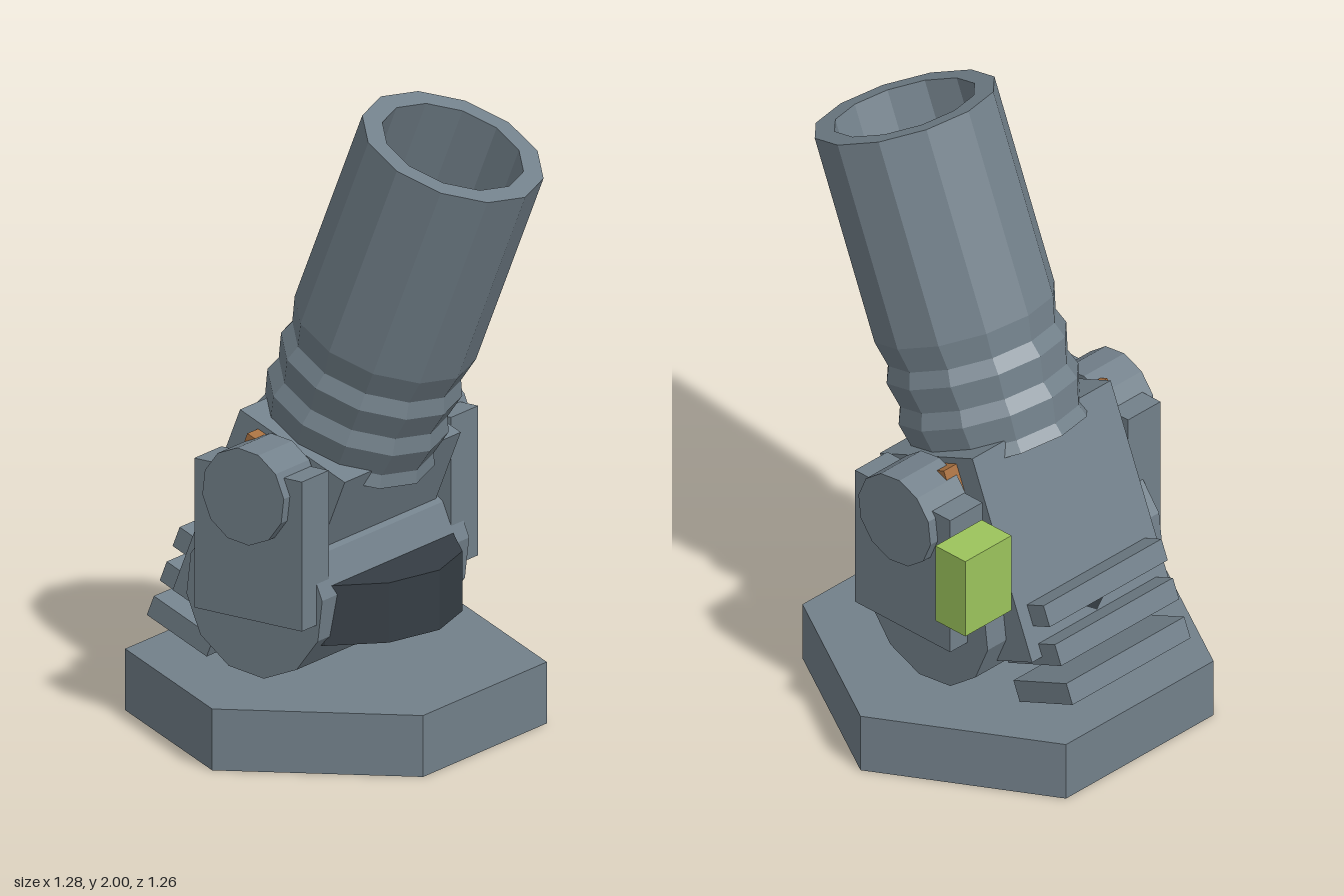
import * as THREE from 'three';

const material = (color) => new THREE.MeshStandardMaterial({ color, flatShading: true });

export function createModel() {
  const steel = material(0x72808a);
  const dark = material(0x353d44);
  const copper = material(0xa87040);
  const green = material(0x9cc45c);

  const model = new THREE.Group();
  model.name = 'mortarTurret';

  const add = (parent, name, geometry, mat, x, y, z) => {
    const mesh = new THREE.Mesh(geometry, mat);
    mesh.name = name;
    mesh.position.set(x, y, z);
    parent.add(mesh);
    return mesh;
  };
  const box = (w, h, d) => new THREE.BoxGeometry(w, h, d);
  // Cylinder lying along x
  const axle = (r, length) => new THREE.CylinderGeometry(r, r, length, 12).rotateZ(Math.PI / 2);

  // Hexagonal base with corners on the left and right
  add(model, 'base', new THREE.CylinderGeometry(0.64, 0.64, 0.195, 6).rotateY(Math.PI / 6), steel, 0, 0.0975, -0.075);

  // Dark turning ring
  add(model, 'turningRing', new THREE.CylinderGeometry(0.38, 0.38, 0.19, 12), dark, 0, 0.445, -0.07);

  // Upright side plates
  for (const side of [1, -1]) {
    add(model, side > 0 ? 'leftSidePlate' : 'rightSidePlate', box(0.14, 0.475, 0.4), steel, side * 0.386, 0.668, -0.074);
  }

  // Sight box on the left
  add(model, 'sightBox', box(0.2, 0.27, 0.125), green, 0.48, 0.765, -0.395);

  // Everything that leans forward around the trunnions
  const gun = new THREE.Group();
  gun.name = 'tiltingGun';
  gun.position.set(0, 0.83, -0.07);
  gun.rotation.x = THREE.MathUtils.degToRad(22);
  model.add(gun);

  add(gun, 'breech', box(0.6, 0.67, 0.42), steel, 0, -0.205, 0);
  add(gun, 'drum', axle(0.255, 0.76), steel, 0, -0.342, 0.1);
  add(gun, 'trunnionBlock', box(0.71, 0.22, 0.26), copper, 0, 0, 0);
  for (const side of [1, -1]) {
    add(gun, side > 0 ? 'leftTrunnion' : 'rightTrunnion', axle(0.153, 0.175), steel, side * 0.4, 0, 0);
  }

  // Recoil fins on the lower back
  for (let i = 0; i < 3; i++) {
    add(gun, 'recoilFin' + (i + 1), box(0.512, 0.07, 0.24), steel, 0, -0.404 - i * 0.128, -0.165);
  }

  // Hollow barrel with three tapered bands near its foot
  const profile = [[0, 0], [0.285, 0]];
  for (let i = 0; i < 3; i++) {
    profile.push([0.27, 0.04 + i * 0.135], [0.29, 0.125 + i * 0.135]);
  }
  profile.push([0.29, 1.067], [0.226, 1.067], [0.226, 0.38], [0, 0.38]);
  const points = profile.map(([r, y]) => new THREE.Vector2(r, y));
  add(gun, 'barrel', new THREE.LatheGeometry(points, 12), steel, 0, 0.081, 0);

  return model;
}
